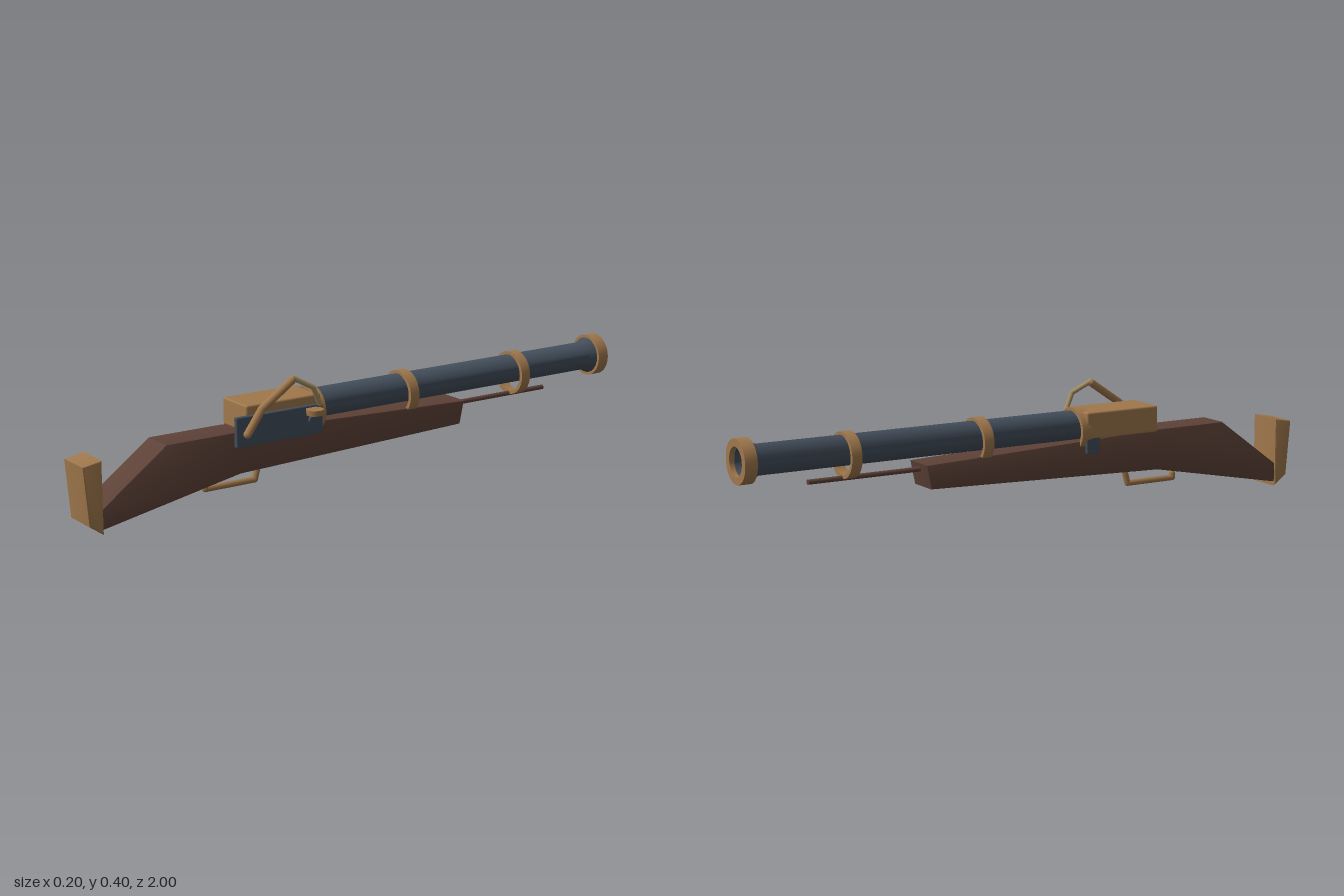
import * as THREE from 'three';
import { toCreasedNormals } from 'three/addons/utils/BufferGeometryUtils.js';
import { RoundedBoxGeometry } from 'three/addons/geometries/RoundedBoxGeometry.js';

const CX = -0.032; // centre line of the gun

export function createModel() {
  const group = new THREE.Group();
  const material = (name, color) => {
    const m = new THREE.MeshStandardMaterial({ color });
    m.name = name;
    return m;
  };
  const wood = material('dark wood', 0x5e4238);
  const brass = material('brass', 0xa0784c);
  const steel = material('blued steel', 0x434e5b);
  const cord = material('match cord', 0xa48e62);

  const add = (name, geometry, mat, x = 0, y = 0, z = 0) => {
    const mesh = new THREE.Mesh(geometry, mat);
    mesh.name = name;
    mesh.position.set(x, y, z);
    group.add(mesh);
    return mesh;
  };

  // Side profile of [z, y] points, extruded across x and centred
  const slab = (points, width, bevel) => {
    const shape = new THREE.Shape(points.map(p => new THREE.Vector2(...p)));
    const g = new THREE.ExtrudeGeometry(shape, {
      depth: width - 2 * bevel, bevelEnabled: true, bevelSize: bevel,
      bevelThickness: bevel, bevelOffset: -bevel, bevelSegments: 2,
    });
    g.translate(0, 0, -(width - 2 * bevel) / 2);
    g.rotateY(-Math.PI / 2);
    return toCreasedNormals(g, 0.5);
  };

  // Profile of [radius, distance forward], turned about the z axis
  const turned = (points) => {
    const g = new THREE.LatheGeometry(points.map(p => new THREE.Vector2(...p)), 32);
    g.rotateX(-Math.PI / 2);
    return toCreasedNormals(g, 0.5);
  };
  const band = (outer, inner, half) => turned([
    [inner, -half], [outer, -half], [outer, half], [inner, half], [inner, -half],
  ]);

  // Round rod through points, with rounded ends
  const rod = (name, points, radius, mat) => {
    const pts = points.map(p => new THREE.Vector3(...p));
    const path = new THREE.CurvePath();
    for (let i = 1; i < pts.length; i++) path.add(new THREE.LineCurve3(pts[i - 1], pts[i]));
    path.curves.forEach(c => add(name, new THREE.TubeGeometry(c, 1, radius, 12), mat));
    pts.forEach(p => add(name + 'Joint', new THREE.SphereGeometry(radius, 12, 8), mat, p.x, p.y, p.z));
  };

  // Stock and butt plate
  add('stock', slab([
    [0.94, 0.013], [0.94, 0.075], [0.717, 0.238], [0.476, 0.238],
    [-0.396, 0.207], [-0.38, 0.131], [0.46, 0.105],
  ], 0.109, 0.004), wood, CX);
  add('buttPlate', slab([
    [0.936, 0], [0.984, 0.034], [1.0, 0.217], [0.936, 0.228],
  ], 0.118, 0.005), brass, CX);

  // Barrel with hollow bore and flared muzzle
  add('barrel', turned([
    [0, -0.2], [0.047, -0.2], [0.047, 0.935], [0.062, 0.965], [0.062, 0.985],
    [0.042, 0.985], [0.038, 0.95], [0.038, 0.75], [0, 0.75],
  ]), steel, CX, 0.272);
  add('muzzleRing', band(0.069, 0.045, 0.02), brass, CX, 0.272, -0.98);

  // Bands hanging around the barrel
  for (const z of [0.174, -0.185, -0.64])
    add('barrelBand', band(0.072, 0.06, 0.017), brass, CX, 0.257, z);

  // Breech cover and side plates
  add('breechCover', new RoundedBoxGeometry(0.137, 0.086, 0.271, 2, 0.006), brass, CX, 0.276, 0.311);
  add('lockPlate', new RoundedBoxGeometry(0.016, 0.095, 0.314, 2, 0.004), steel, 0.042, 0.243, 0.333);
  add('rearSidePlate', new RoundedBoxGeometry(0.011, 0.06, 0.05, 2, 0.004), steel, -0.094, 0.215, 0.2);
  for (const z of [0.43, 0.22]) {
    const screw = new THREE.CylinderGeometry(0.012, 0.012, 0.012, 16);
    screw.rotateZ(Math.PI / 2);
    add('lockScrew', screw, steel, 0.053, 0.245, z);
  }

  // Match holder arm, cord and priming pan
  rod('matchArm', [[0.06, 0.237, 0.458], [0.06, 0.31, 0.405], [0.06, 0.384, 0.295]], 0.0125, brass);
  rod('matchCord', [[0.06, 0.39, 0.293], [0.075, 0.355, 0.23], [0.068, 0.295, 0.2]], 0.008, cord);
  add('primingPan', new THREE.CylinderGeometry(0.028, 0.026, 0.018, 20), brass, 0.073, 0.275, 0.222);

  // Trigger lever
  rod('trigger', [[CX, 0.075, 0.555], [CX, 0.06, 0.555], [CX, 0.06, 0.377], [CX, 0.115, 0.362]], 0.01, brass);

  // Ramrod
  const ramrod = new THREE.CylinderGeometry(0.008, 0.008, 0.42, 12);
  ramrod.rotateX(Math.PI / 2);
  add('ramrod', ramrod, wood, CX, 0.187, -0.56);

  return group;
}
